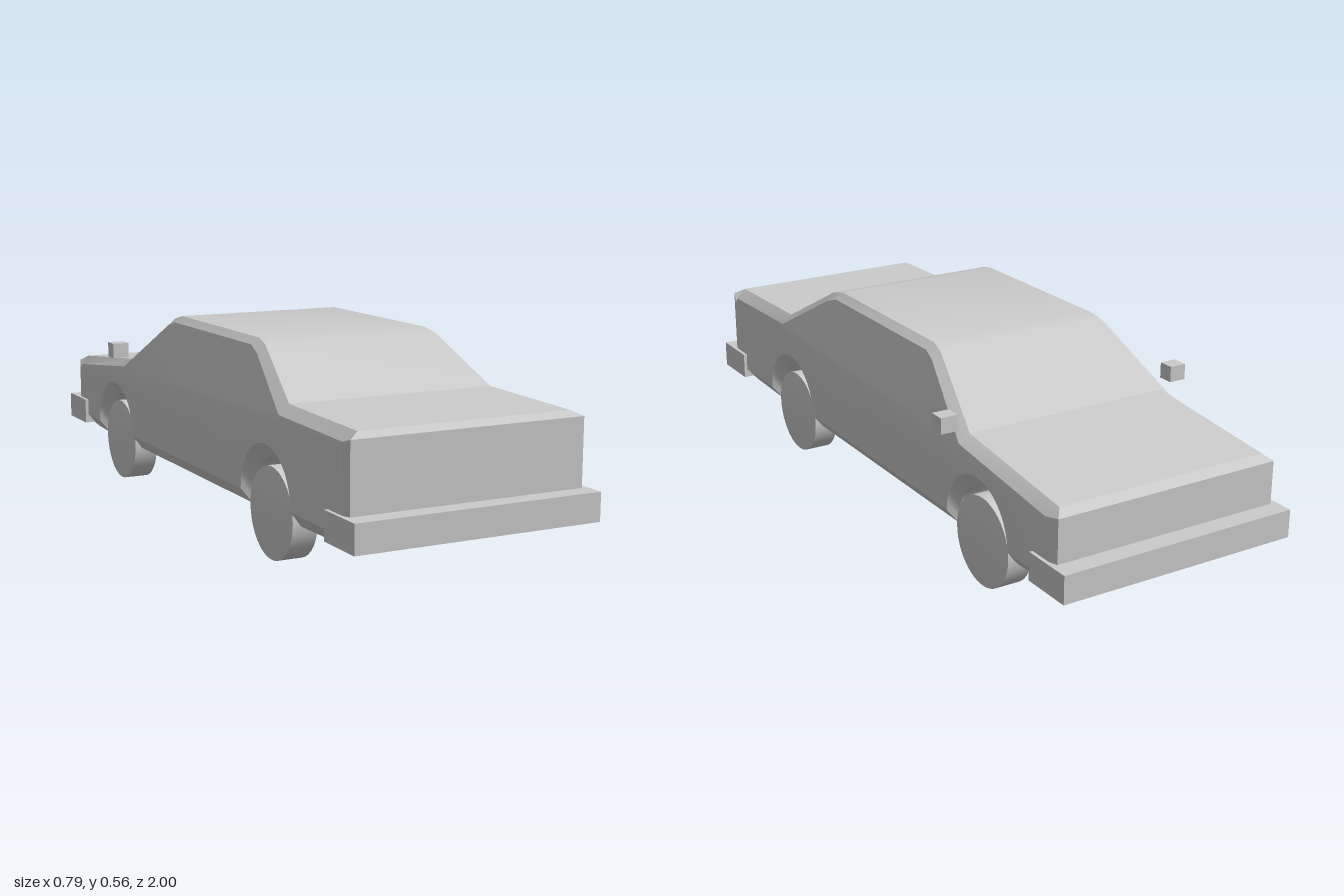
import * as THREE from 'three';
import { toCreasedNormals } from 'three/addons/utils/BufferGeometryUtils.js';

const material = new THREE.MeshStandardMaterial({ color: 0xcccccc });
const AXLES = [-0.59, 0.505];

function addMesh(parent, name, geometry, x = 0, y = 0, z = 0) {
  const mesh = new THREE.Mesh(geometry, material);
  mesh.name = name;
  mesh.position.set(x, y, z);
  parent.add(mesh);
  return mesh;
}

// Side outline as pairs: rim edge (z, y, half width) and the inset flank edge (z, y).
function bodyOutline() {
  const points = [
    [0.945, 0.16, 0.335, 0.92, 0.17],
    [0.945, 0.4, 0.335, 0.92, 0.378],
    [0.925, 0.415, 0.305, 0.91, 0.39],
    [0.57, 0.423, 0.305, 0.57, 0.397], // cabin base, index 3
    [0.35, 0.545, 0.265, 0.35, 0.522],
    [0.3, 0.557, 0.258, 0.3, 0.54],
    [-0.235, 0.557, 0.258, -0.235, 0.54],
    [-0.275, 0.546, 0.262, -0.275, 0.525],
    [-0.505, 0.396, 0.31, -0.505, 0.374], // cabin base, index 8
    [-0.92, 0.352, 0.315, -0.9, 0.328],
    [-0.945, 0.335, 0.335, -0.92, 0.315],
    [-0.945, 0.16, 0.335, -0.92, 0.17],
    [-0.84, 0.125, 0.31, -0.84, 0.163],
  ];
  // wheel arches cut into the lower edge
  const steps = 18;
  for (const c of AXLES) {
    for (let i = 0; i <= steps; i++) {
      const t = (i / steps) * Math.PI;
      const cos = Math.cos(t), sin = Math.sin(t);
      points.push([c - 0.143 * cos, 0.121 + 0.152 * sin, 0.31,
        c - 0.148 * cos, 0.163 + 0.149 * sin]);
    }
  }
  points.push([0.84, 0.125, 0.31, 0.84, 0.163]);
  return points;
}

function bodyGeometry() {
  const outline = bodyOutline();
  const positions = [];
  const tri = (...corners) => corners.forEach((p) => positions.push(p.x, p.y, p.z));
  const quad = (a, b, c, d) => { tri(a, b, c); tri(a, c, d); };
  const mirror = (p) => new THREE.Vector3(-p.x, p.y, p.z);
  const flankX = (y) => 0.343 - Math.max(0, y - 0.375) * 0.365;

  const rim = outline.map(([z, y, x]) => new THREE.Vector3(x, y, z));
  const flank = outline.map(([, , , z, y]) => new THREE.Vector3(flankX(y), y, z));

  // skin across the body, with a bevel on both sides
  const rings = [flank, rim, rim.map(mirror), flank.map(mirror)];
  for (let i = 0; i < rim.length; i++) {
    const j = (i + 1) % rim.length;
    for (let k = 0; k < 3; k++) {
      quad(rings[k][i], rings[k][j], rings[k + 1][j], rings[k + 1][i]);
    }
  }

  // flat flanks: cabin side and lower body side
  const cabin = flank.slice(3, 9);
  const lower = [...flank.slice(0, 4), ...flank.slice(8)];
  for (const part of [cabin, lower]) {
    const flat = part.map((p) => new THREE.Vector2(-p.z, p.y));
    for (const face of THREE.ShapeUtils.triangulateShape(flat, [])) {
      let [a, b, c] = face.map((n) => part[n]);
      const normal = b.clone().sub(a).cross(c.clone().sub(a));
      if (normal.x < 0) [b, c] = [c, b];
      tri(a, b, c);
      tri(mirror(a), mirror(c), mirror(b));
    }
  }

  const geometry = new THREE.BufferGeometry();
  geometry.setAttribute('position', new THREE.Float32BufferAttribute(positions, 3));
  return toCreasedNormals(geometry, 0.4);
}

// Wheel turned about its axle, with a slightly raised outer face
function wheelGeometry() {
  const profile = [[0, 0], [0.125, 0], [0.125, 0.072], [0.1, 0.078], [0, 0.078]]
    .map(([r, h]) => new THREE.Vector2(r, h));
  return toCreasedNormals(new THREE.LatheGeometry(profile, 40), 0.5);
}

export function createModel() {
  const car = new THREE.Group();
  car.name = 'car';

  addMesh(car, 'body', bodyGeometry());

  for (const end of [1, -1]) {
    addMesh(car, end > 0 ? 'frontBumper' : 'rearBumper',
      new THREE.BoxGeometry(0.706, 0.078, 0.15), 0, 0.176, end * 0.925);
  }

  const wheel = wheelGeometry();
  const mirrorBox = new THREE.BoxGeometry(0.05, 0.045, 0.045);
  for (const side of [1, -1]) {
    const label = side > 0 ? 'left' : 'right';
    addMesh(car, label + 'Mirror', mirrorBox, side * 0.37, 0.432, -0.48);
    for (const z of AXLES) {
      const name = label + (z > 0 ? 'FrontWheel' : 'RearWheel');
      addMesh(car, name, wheel, side * 0.253, 0.126, z).rotation.z = -side * Math.PI / 2;
    }
  }
  return car;
}
